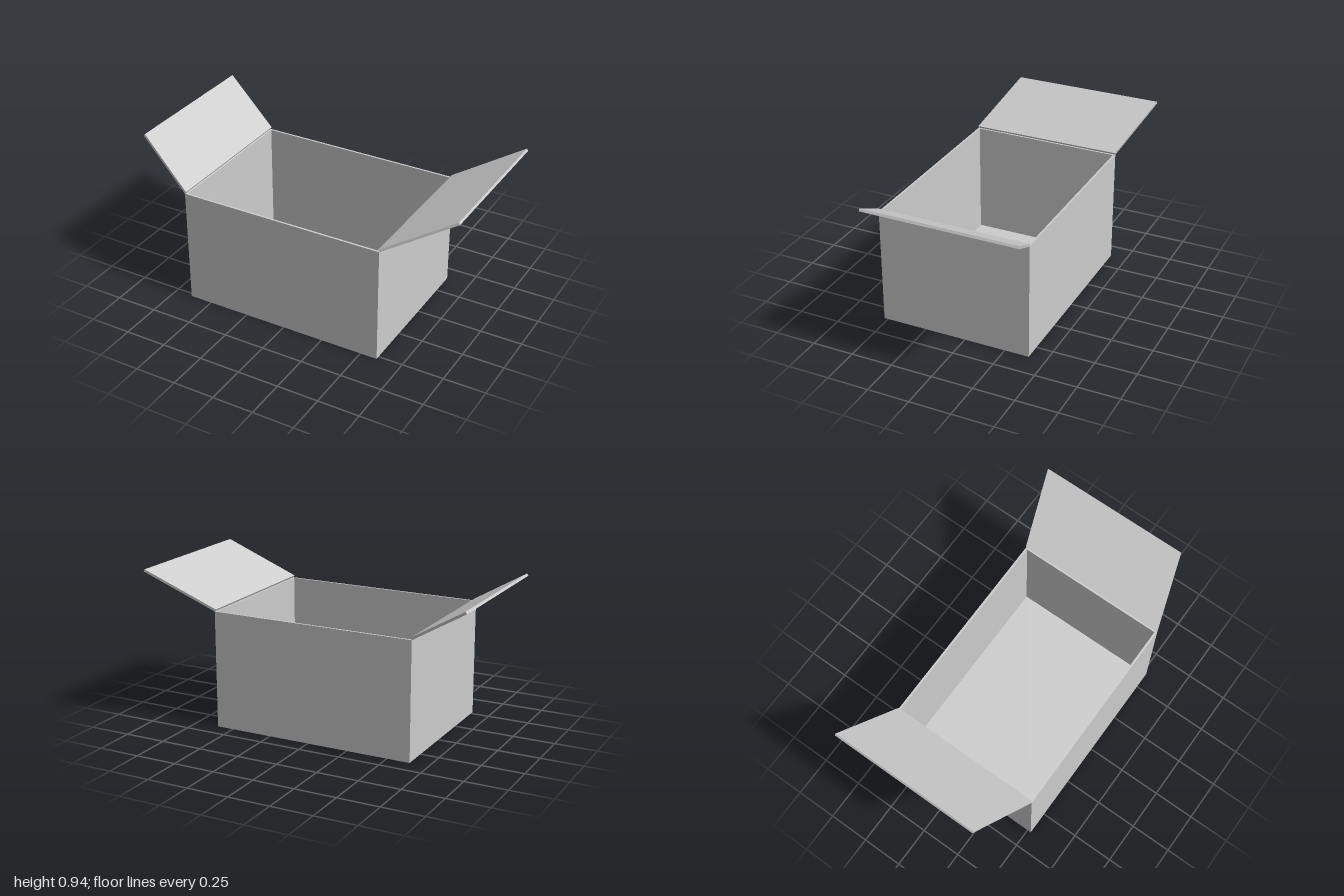
import * as THREE from 'three';

export function createModel() {
  const root = new THREE.Group();
  root.name = 'openCarton';
  const card = new THREE.MeshStandardMaterial({ color: 0xcccccc });
  card.name = 'grey cardboard';

  const x0 = -0.638, x1 = 0.603, z0 = -0.398, z1 = 0.524, height = 0.703;
  const wall = 0.012;

  const add = (name, geometry) => {
    const mesh = new THREE.Mesh(geometry, card);
    mesh.name = name;
    root.add(mesh);
  };

  // Four walls as one rectangular tube
  const rect = (Type, inset) => new Type([
    new THREE.Vector2(x0 + inset, -z1 + inset), new THREE.Vector2(x1 - inset, -z1 + inset),
    new THREE.Vector2(x1 - inset, -z0 - inset), new THREE.Vector2(x0 + inset, -z0 - inset),
  ]);
  const outline = rect(THREE.Shape, 0);
  outline.holes.push(rect(THREE.Path, wall));
  add('walls', new THREE.ExtrudeGeometry(outline, { depth: height, bevelEnabled: false })
    .rotateX(-Math.PI / 2));

  // Floor panel inside the walls
  add('floor', new THREE.BoxGeometry(x1 - x0 - 2 * wall, wall, z1 - z0 - 2 * wall)
    .translate((x0 + x1) / 2, wall / 2, (z0 + z1) / 2));

  // Raised side flaps, skewed toward the back at their free edges
  const rise = 0.22, skew = 0.126, thick = 0.015;
  const flap = (name, side, hingeX) => {
    const run = 0.999 - Math.abs(hingeX);
    const length = Math.hypot(run, rise);
    const shear = new THREE.Matrix4();
    shear.elements[2] = -side * skew / length; // z shifts with distance from the hinge
    const geometry = new THREE.BoxGeometry(length, thick, z1 - z0)
      .translate(side * length / 2, thick / 2, (z0 + z1) / 2)
      .applyMatrix4(shear)
      .rotateZ(side * Math.atan2(rise, run))
      .translate(hingeX, height, 0);
    geometry.computeVertexNormals();
    add(name, geometry);
  };
  flap('leftFlap', 1, x1);
  flap('rightFlap', -1, x0);

  return root;
}
